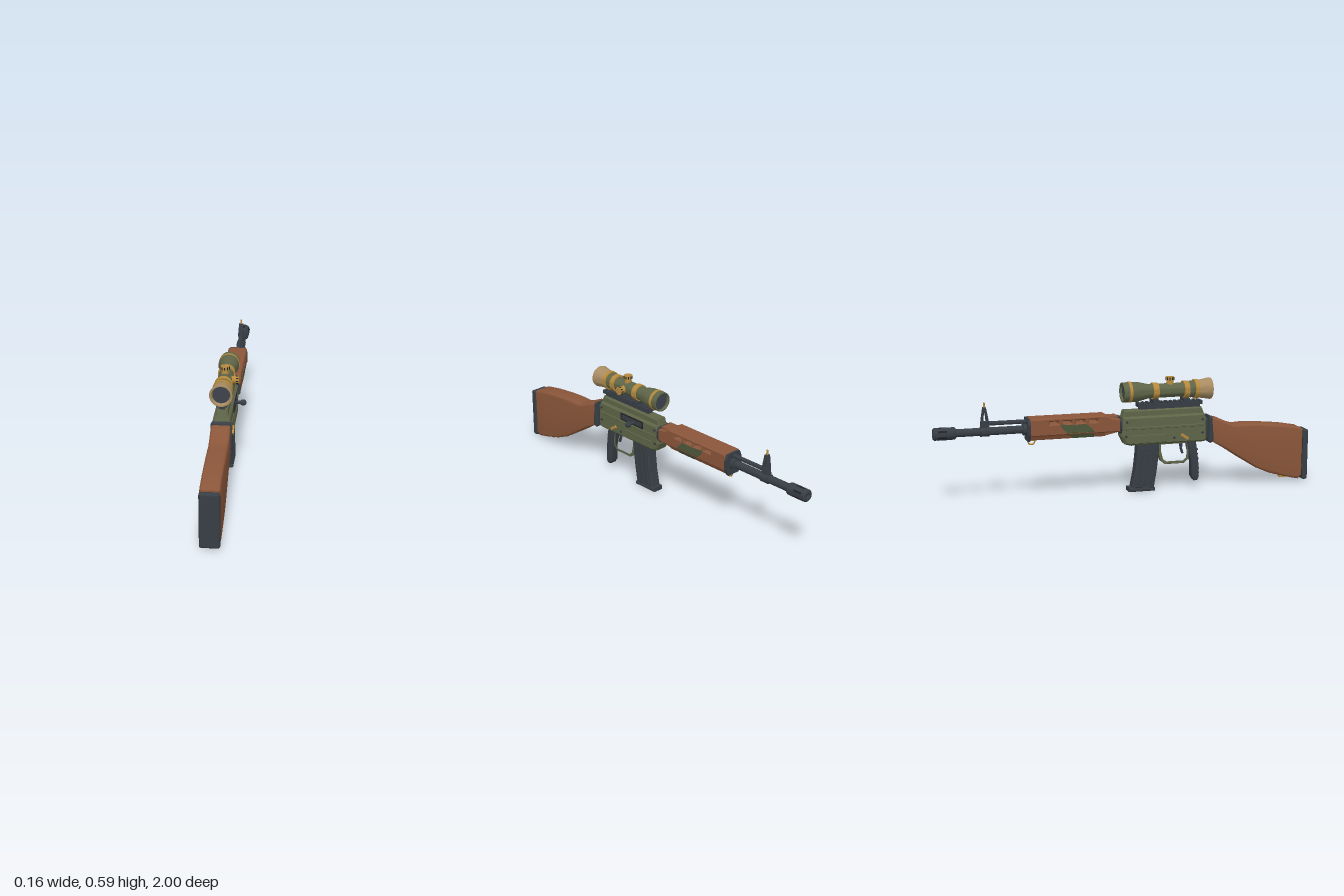
import * as THREE from 'three';
import { toCreasedNormals } from 'three/addons/utils/BufferGeometryUtils.js';
import { RoundedBoxGeometry } from 'three/addons/geometries/RoundedBoxGeometry.js';

const CX = -0.022; // centre plane of the rifle
const mat = (name, color) => Object.assign(new THREE.MeshStandardMaterial({ color }), { name });
const M = {
  wood: mat('wood', 0x8a563a), dark: mat('dark steel', 0x383e45), green: mat('olive green', 0x5f6548),
  gold: mat('brass', 0xb58a3e), tan: mat('tan', 0xa88c62), camo: mat('camouflage green', 0x4f583b),
  lens: mat('lens', 0x3d434d), black: mat('black', 0x202328),
};

export function createModel() {
  const root = new THREE.Group();
  root.name = 'scopedRifle';

  const add = (name, geo, m, x = 0, y = 0, z = 0) => {
    const mesh = new THREE.Mesh(geo, m);
    mesh.name = name;
    mesh.position.set(CX + x, y, z);
    root.add(mesh);
    return mesh;
  };
  const box = (name, m, w, h, d, x, y, z) => add(name, new THREE.BoxGeometry(w, h, d), m, x, y, z);
  const vecs = (pts) => pts.map(([a, b]) => new THREE.Vector2(a, b));

  // Side outline in (z, y) extruded across x, with bevelled edges
  const side = (name, m, pts, width, bevel = 0.005, holes = [], x = 0, segs = 1) => {
    const shape = new THREE.Shape(vecs(pts));
    holes.forEach((h) => shape.holes.push(new THREE.Path(vecs(h))));
    const depth = width - 2 * bevel;
    const geo = new THREE.ExtrudeGeometry(shape, {
      depth, bevelEnabled: bevel > 0, bevelSize: bevel, bevelThickness: bevel,
      bevelOffset: -bevel, bevelSegments: segs,
    });
    geo.translate(0, 0, -depth / 2).rotateY(-Math.PI / 2);
    return add(name, segs > 1 ? toCreasedNormals(geo, 0.55) : geo, m, x);
  };
  // Turned part along z, profile of (radius, z) with z increasing
  const turned = (name, m, y, pts, n = 32) =>
    add(name, toCreasedNormals(new THREE.LatheGeometry(vecs(pts), n).rotateX(Math.PI / 2), 0.5), m, 0, y, 0);
  const rod = (name, m, r, y, z0, z1, n = 24) => turned(name, m, y, [[0, z0], [r, z0], [r, z1], [0, z1]], n);

  // Stock and butt plate
  side('stock', M.wood, [[0.967, 0.03], [0.967, 0.285], [0.95, 0.296], [0.85, 0.314], [0.72, 0.327], [0.62, 0.331],
    [0.585, 0.328], [0.55, 0.338], [0.49, 0.366], [0.445, 0.376], [0.445, 0.25], [0.53, 0.2], [0.62, 0.14],
    [0.7, 0.09], [0.78, 0.055], [0.87, 0.03], [0.945, 0.012]], 0.096, 0.012, [], 0, 3);
  add('buttPlate', new RoundedBoxGeometry(0.097, 0.275, 0.032, 3, 0.011), M.dark, 0, 0.1445, 0.984);
  box('buttSpacer', M.black, 0.08, 0.25, 0.02, 0, 0.147, 0.968);
  box('rearSlingStud', M.gold, 0.03, 0.012, 0.035, 0, 0.026, 0.87);
  side('stockCollar', M.dark, [[0.462, 0.255], [0.44, 0.24], [0.428, 0.25], [0.428, 0.385], [0.45, 0.38]], 0.102, 0.008);
  side('collarNeck', M.dark, [[0.432, 0.26], [0.415, 0.26], [0.415, 0.37], [0.432, 0.37]], 0.07);

  // Receiver and top cover
  side('receiver', M.green, [[0.42, 0.26], [0.42, 0.375], [0.405, 0.402], [-0.035, 0.402], [-0.042, 0.3],
    [-0.022, 0.258], [0.01, 0.25], [0.41, 0.25]], 0.084, 0.01);
  side('topCover', M.green, [[0.41, 0.395], [0.395, 0.433], [-0.025, 0.433], [-0.034, 0.395]], 0.058, 0.006);
  for (const s of [-1, 1]) {
    side('sideRidge', M.green, [[0.4, 0.335], [0.4, 0.348], [-0.02, 0.348], [-0.02, 0.335]], 0.008, 0.002, [], s * 0.042);
    side('sidePanel', M.green, [[0.2, 0.262], [0.2, 0.305], [0.01, 0.305], [0.01, 0.262]], 0.006, 0.002, [], s * 0.042);
    const lever = box('selectorLever', M.gold, 0.012, 0.014, 0.045, s * 0.045, 0.285, 0.297);
    lever.rotation.x = 0.6;
    for (const [z, y] of [[0.395, 0.3], [0.395, 0.37], [-0.02, 0.3], [-0.015, 0.375], [0.24, 0.28]])
      add('rivet', new THREE.CylinderGeometry(0.007, 0.007, 0.006, 10).rotateZ(Math.PI / 2), M.dark, s * 0.043, y, z);
  }

  // Ejection port and bolt handle
  side('ejectionPort', M.black, [[0.24, 0.352], [0.24, 0.392], [0.07, 0.392], [0.07, 0.352]], 0.008, 0, [], 0.042);
  box('bolt', M.dark, 0.012, 0.024, 0.15, 0.043, 0.373, 0.155);
  add('boltHandle', new THREE.CylinderGeometry(0.008, 0.009, 0.05, 12).rotateZ(Math.PI / 2), M.dark, 0.058, 0.368, 0.14);
  add('boltKnob', new THREE.SphereGeometry(0.016, 20, 14), M.dark, 0.083, 0.368, 0.14);

  // Grip, trigger and guard
  side('grip', M.dark, [[0.368, 0.255], [0.318, 0.255], [0.326, 0.21], [0.343, 0.14], [0.346, 0.06], [0.36, 0.038],
    [0.378, 0.04], [0.387, 0.06], [0.382, 0.15]], 0.05, 0.008, [], 0, 3);
  for (let i = 0; i < 6; i++) box('gripRib', M.dark, 0.036, 0.009, 0.01, 0, 0.08 + i * 0.025, 0.383 - i * 0.0016);
  side('triggerGuard', M.green, [[0.33, 0.255], [0.33, 0.16], [0.305, 0.136], [0.2, 0.136], [0.175, 0.155], [0.16, 0.21], [0.16, 0.255]],
    0.034, 0.002, [[[0.318, 0.245], [0.318, 0.167], [0.3, 0.149], [0.205, 0.149], [0.186, 0.163], [0.174, 0.212], [0.174, 0.245]]]);
  side('trigger', M.dark, [[0.3, 0.255], [0.282, 0.255], [0.285, 0.215], [0.295, 0.185], [0.305, 0.188], [0.297, 0.215]], 0.014, 0.002);

  // Magazine with ribs and floor plate
  side('magazine', M.dark, [[0.165, 0.255], [0.048, 0.255], [0.043, 0.19], [0.034, 0.11], [0.016, 0.02], [0.135, 0.015],
    [0.15, 0.1], [0.16, 0.18]], 0.06, 0.006);
  for (const s of [-1, 1]) for (const dz of [0, 0.035, 0.07])
    side('magazineRib', M.dark, [[0.074 + dz, 0.23], [0.062 + dz, 0.23], [0.054 + dz, 0.13], [0.038 + dz, 0.04],
      [0.05 + dz, 0.04], [0.066 + dz, 0.13]], 0.008, 0.002, [], s * 0.031);
  side('floorPlate', M.dark, [[0.142, 0.002], [0.142, 0.018], [0.0, 0.026], [0.0, 0.003]], 0.064, 0.004);

  // Handguard with through slots, tapered underside, end caps and painted patches
  const slots = [-0.193, -0.262, -0.328, -0.397].map((z) =>
    [[z - 0.023, 0.389], [z + 0.023, 0.389], [z + 0.023, 0.402], [z - 0.023, 0.402]]);
  side('handguard', M.wood, [[-0.05, 0.33], [-0.05, 0.396], [-0.1, 0.405], [-0.125, 0.42], [-0.52, 0.42], [-0.52, 0.33]],
    0.102, 0.006, slots);
  const under = new THREE.Shape(vecs([[-0.051, 0.345], [-0.034, 0.31], [0.034, 0.31], [0.051, 0.345]]));
  add('handguardUnderside', new THREE.ExtrudeGeometry(under, { depth: 0.39, bevelEnabled: false }), M.wood, 0, 0, -0.52);
  side('handguardRamp', M.wood, [[-0.05, 0.345], [-0.14, 0.345], [-0.14, 0.311], [-0.05, 0.33]], 0.074, 0.002);
  box('handguardHeel', M.wood, 0.07, 0.02, 0.06, 0, 0.4, -0.09);
  for (const s of [-1, 1])
    side('camouflagePatch', M.camo, [[-0.19, 0.342], [-0.2, 0.357], [-0.235, 0.383], [-0.3, 0.38], [-0.365, 0.387],
      [-0.355, 0.362], [-0.335, 0.342]], 0.004, 0, [], s * 0.051);
  for (const s of [-1, 1]) {
    const low = side('camouflagePatchLower', M.camo, [[-0.19, -0.018], [-0.19, 0.018], [-0.335, 0.018], [-0.3, -0.018]],
      0.004, 0, [], s * 0.043);
    low.position.y = 0.3275;
    low.rotation.z = -s * 0.452;
  }
  const cap = [[-0.054, 0.365], [-0.054, 0.34], [-0.036, 0.305], [0.036, 0.305], [0.054, 0.34], [0.054, 0.39], [0.04, 0.42], [-0.04, 0.42], [-0.054, 0.39]];
  add('frontCap', new THREE.ExtrudeGeometry(new THREE.Shape(vecs(cap)), { depth: 0.014, bevelEnabled: false }), M.dark, 0, 0, -0.532);
  const rear = add('rearCap', new THREE.ExtrudeGeometry(new THREE.Shape(vecs(cap)), { depth: 0.012, bevelEnabled: false }), M.dark, 0, 0.1, -0.054);
  rear.scale.y = 0.72;
  rod('barrelTrunnion', M.dark, 0.034, 0.362, -0.06, -0.03);
  add('frontSlingRing', new THREE.TorusGeometry(0.017, 0.004, 8, 20).rotateY(Math.PI / 2), M.gold, 0, 0.3, -0.506);
  box('slingMount', M.gold, 0.04, 0.012, 0.03, 0, 0.31, -0.505);

  // Barrel, gas tube and muzzle brake
  rod('barrel', M.dark, 0.02, 0.363, -0.92, -0.5);
  rod('barrelNut', M.dark, 0.03, 0.363, -0.55, -0.53);
  rod('gasTube', M.dark, 0.011, 0.403, -0.76, -0.5, 16);
  turned('muzzleBrake', M.dark, 0.363, [[0.012, -0.97], [0.015, -1], [0.026, -1], [0.031, -0.994], [0.031, -0.895], [0.027, -0.888], [0, -0.888]]);
  rod('bore', M.black, 0.014, 0.363, -0.985, -0.97);
  for (let i = 0; i < 6; i++) {
    const a = (i * Math.PI) / 3;
    const slot = box('muzzleSlot', M.black, 0.01, 0.004, 0.045, Math.sin(a) * 0.0295, 0.363 + Math.cos(a) * 0.0295, -0.955);
    slot.rotation.z = -a;
  }

  // Front sight
  rod('sightBand', M.dark, 0.025, 0.363, -0.765, -0.72);
  side('frontSight', M.dark, [[-0.718, 0.36], [-0.722, 0.42], [-0.734, 0.485], [-0.75, 0.485], [-0.76, 0.42], [-0.766, 0.36]],
    0.026, 0.002, [[[-0.735, 0.415], [-0.749, 0.415], [-0.745, 0.46], [-0.739, 0.46]]]);
  add('sightPost', new THREE.CylinderGeometry(0.004, 0.006, 0.035, 10), M.gold, 0, 0.492, -0.742);

  // Scope rail
  box('railNeck', M.dark, 0.028, 0.02, 0.33, 0, 0.441, 0.225);
  box('rail', M.dark, 0.05, 0.014, 0.35, 0, 0.454, 0.225);
  for (let i = 0; i < 14; i++) box('railTooth', M.dark, 0.06, 0.01, 0.014, 0, 0.463, 0.06 + i * 0.0254);

  // Scope
  const Y = 0.525;
  turned('scopeTube', M.green, Y, [[0.043, -0.012], [0.045, -0.03], [0.051, -0.03], [0.052, 0.03], [0.049, 0.06],
    [0.037, 0.11], [0.036, 0.29], [0.043, 0.335], [0.044, 0.385], [0, 0.385]]);
  turned('eyepiece', M.tan, Y, [[0, 0.376], [0.046, 0.376], [0.049, 0.4], [0.055, 0.435], [0.057, 0.442], [0.055, 0.45],
    [0.048, 0.45], [0.041, 0.43]]);
  rod('rearLens', M.lens, 0.043, Y, 0.42, 0.434, 32);
  rod('frontLens', M.lens, 0.045, Y, -0.016, 0.0, 32);
  for (const [r, z0, z1] of [[0.0535, 0.0, 0.016], [0.043, 0.13, 0.16], [0.046, 0.298, 0.326], [0.05, 0.357, 0.378]])
    rod('scopeRing', M.gold, r, Y, z0, z1, 32);
  for (const z of [0.145, 0.312]) {
    box('scopeMount', M.dark, 0.066, 0.02, 0.034, 0, 0.472, z);
    box('scopeMountNeck', M.dark, 0.04, 0.03, 0.028, 0, 0.484, z);
  }

  // Adjustment turrets with knurling
  const turret = (name, len) => {
    const g = new THREE.Group();
    g.name = name;
    const part = (n, geo, m, x, y, z) => {
      const p = new THREE.Mesh(geo, m);
      p.name = n;
      p.position.set(x, y, z);
      g.add(p);
      return p;
    };
    part('turretBase', new THREE.CylinderGeometry(0.017, 0.02, 0.03, 20), M.gold, 0, 0.04, 0);
    part('turretCap', new THREE.CylinderGeometry(0.022, 0.022, len - 0.052, 20), M.gold, 0, (len + 0.052) / 2, 0);
    for (let i = 0; i < 10; i++) {
      const a = (i * Math.PI) / 5;
      part('turretGroove', new THREE.BoxGeometry(0.005, len - 0.057, 0.003), M.black,
        Math.sin(a) * 0.0215, (len + 0.052) / 2, Math.cos(a) * 0.0215).rotation.y = a;
    }
    g.position.set(CX, Y, 0.228);
    root.add(g);
    return g;
  };
  turret('elevationTurret', 0.071);
  turret('windageTurret', 0.069).rotation.z = -Math.PI / 2;

  return root;
}
